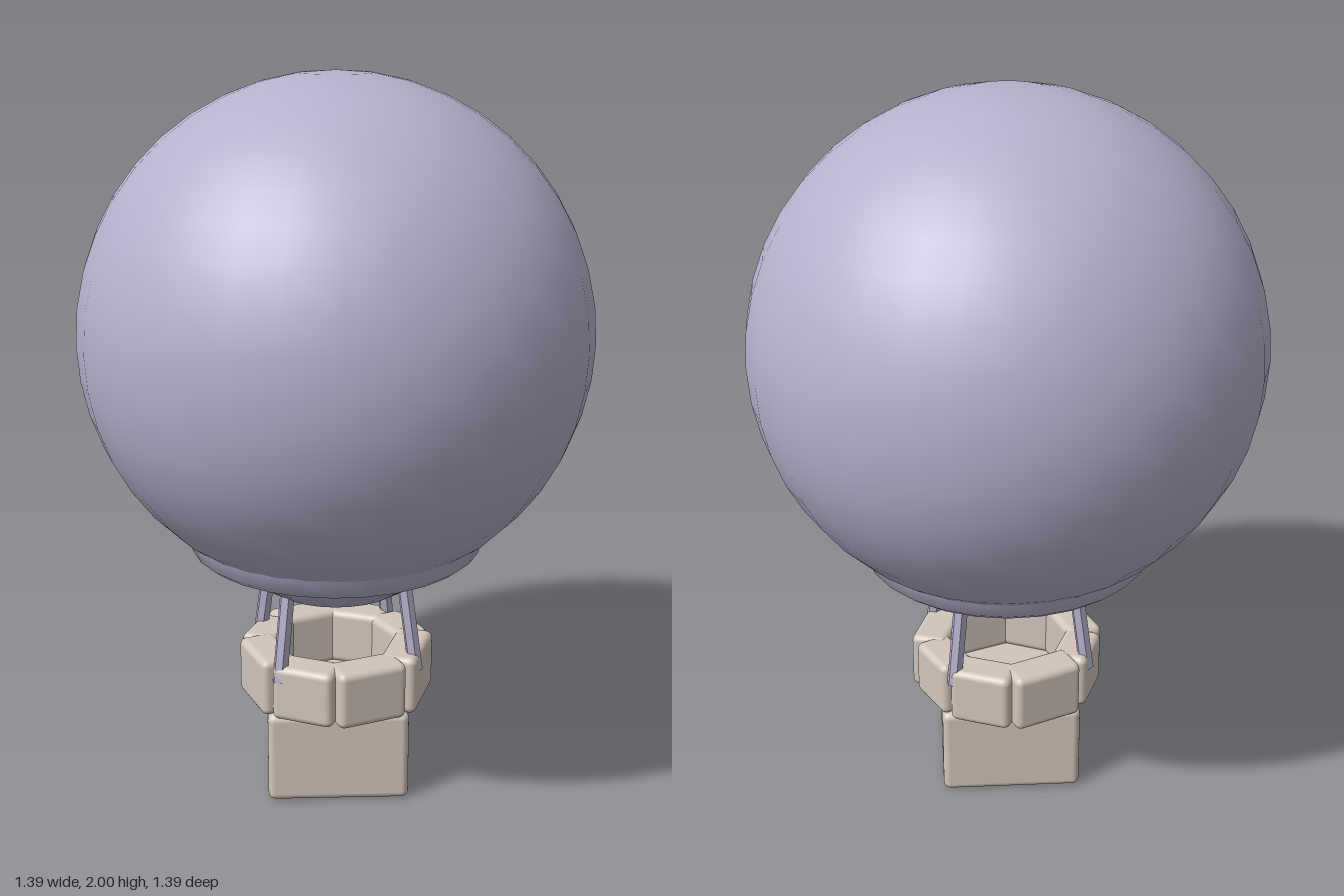
import * as THREE from 'three';
import { RoundedBoxGeometry } from 'three/addons/geometries/RoundedBoxGeometry.js';
import { toCreasedNormals } from 'three/addons/utils/BufferGeometryUtils.js';

const DEG = Math.PI / 180;

export function createModel() {
  const model = new THREE.Group();
  model.name = 'hotAirBalloon';

  const envelopeMat = new THREE.MeshStandardMaterial({ color: 0xb4b1cb });
  envelopeMat.name = 'lavender';
  const basketMat = new THREE.MeshStandardMaterial({ color: 0xd2c5ba });
  basketMat.name = 'sandstone';

  const add = (name, geometry, material, parent = model) => {
    const mesh = new THREE.Mesh(geometry, material);
    mesh.name = name;
    parent.add(mesh);
    return mesh;
  };
  const lathe = (points, segments) =>
    new THREE.LatheGeometry(points.map(([x, y]) => new THREE.Vector2(x, y)), segments);

  // Round envelope
  add('envelope', new THREE.SphereGeometry(0.695, 32, 22), envelopeMat).position.y = 1.305;

  // Shallow bowl closing the underside
  add('envelopeBase', lathe([
    [0, 0.55], [0.1, 0.558], [0.19, 0.585], [0.27, 0.635], [0.34, 0.69], [0.38, 0.73],
  ], 28), envelopeMat);

  // Flared collar around the bottom of the envelope
  add('collar', toCreasedNormals(lathe([
    [0.33, 0.692], [0.383, 0.692], [0.403, 0.708], [0.42, 0.758], [0.412, 0.776], [0.36, 0.78],
  ], 28), 35 * DEG), envelopeMat);

  // Basket body, slightly turned
  const body = add('basketBody', new RoundedBoxGeometry(0.395, 0.262, 0.395, 3, 0.02), basketMat);
  body.position.y = 0.131;
  body.rotation.y = -9.6 * DEG;

  // Ring of uneven blocks forming the basket rim: edge angles measured from the front
  const rim = new THREE.Group();
  rim.name = 'basketRim';
  model.add(rim);
  const edges = [-55, -12, 36, 88, 128, 170, 218, 258, 305];
  for (let i = 0; i < edges.length - 1; i++) {
    const middle = (edges[i] + edges[i + 1]) / 2 * DEG;
    const width = 2 * 0.228 * Math.tan((edges[i + 1] - edges[i]) / 2 * DEG);
    const height = 0.16 + (i % 3) * 0.004;
    const block = add('rimBlock', new RoundedBoxGeometry(width, height, 0.105, 3, 0.02), basketMat, rim);
    block.position.set(Math.sin(middle) * 0.209, 0.338, Math.cos(middle) * 0.209);
    block.rotation.y = middle;
  }

  // Four struts leaning inwards between rim and envelope
  const up = new THREE.Vector3(0, 1, 0);
  for (const sx of [-1, 1]) {
    for (const sz of [-1, 1]) {
      const foot = new THREE.Vector3(sx * 0.193, 0.37, sz * 0.167);
      const head = new THREE.Vector3(sx * 0.163, 0.63, sz * 0.139);
      const axis = head.clone().sub(foot);
      const geometry = toCreasedNormals(
        new THREE.CylinderGeometry(0.021, 0.021, axis.length(), 6), 30 * DEG);
      const strut = add('strut', geometry, envelopeMat);
      strut.position.copy(foot).add(head).multiplyScalar(0.5);
      strut.quaternion.setFromUnitVectors(up, axis.normalize());
    }
  }

  return model;
}
